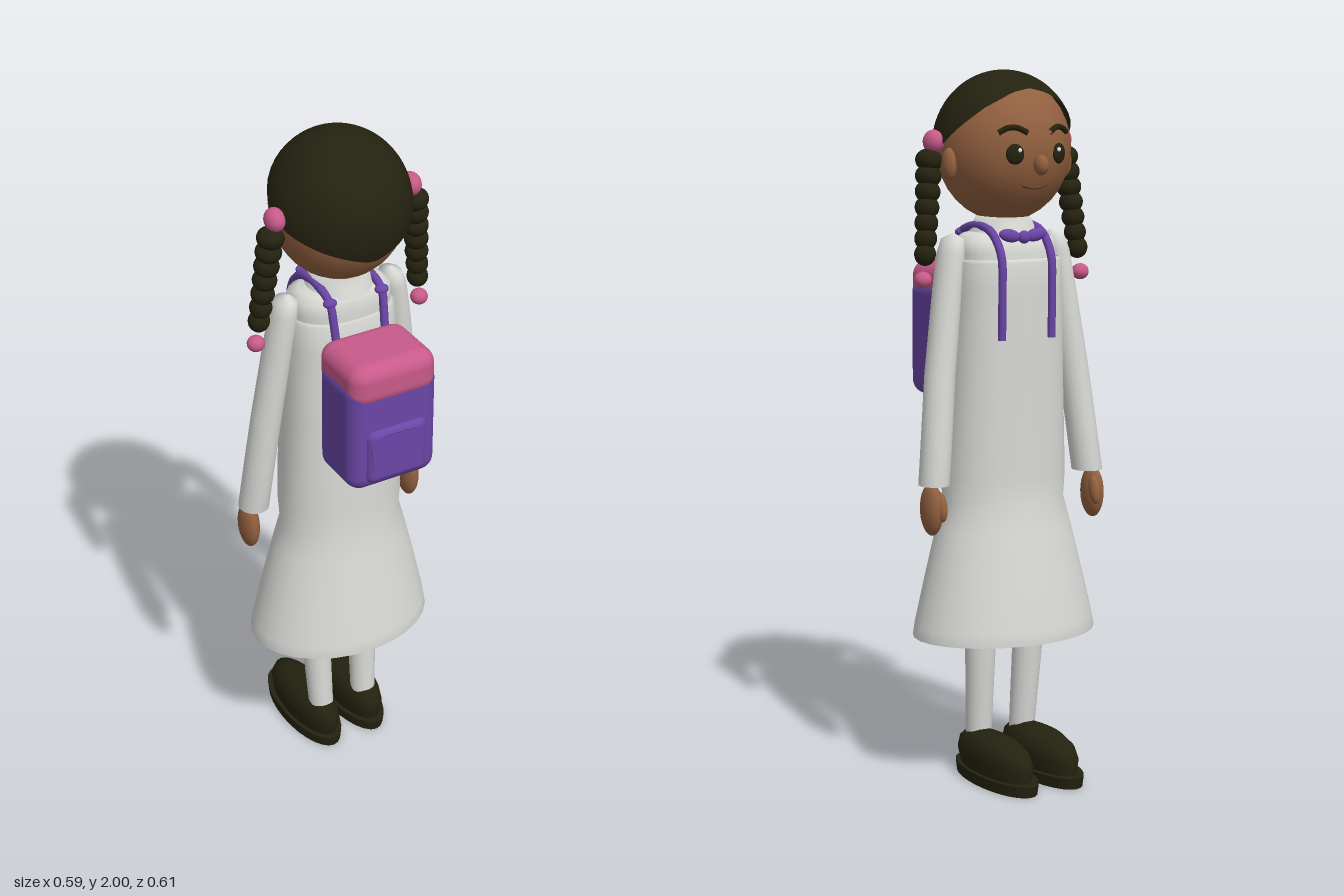
import * as THREE from 'three';
import { RoundedBoxGeometry } from 'three/addons/geometries/RoundedBoxGeometry.js';

const mat = (name, color, side = THREE.FrontSide) => {
  const m = new THREE.MeshStandardMaterial({ color, side });
  m.name = name;
  return m;
};

export function createModel() {
  const model = new THREE.Group();
  model.name = 'schoolchild';
  const hair = mat('dark hair', 0x24220f, THREE.DoubleSide);
  const skin = mat('brown skin', 0x92603f);
  const lips = mat('dark lips', 0x6a3f2a);
  const cloth = mat('white cloth', 0xd8d8d5, THREE.DoubleSide);
  const purple = mat('purple fabric', 0x6a45a6);
  const pink = mat('pink fabric', 0xc75a89);
  const glint = mat('eye glint', 0xf2f2f2);

  const add = (name, geo, material, pos = [0, 0, 0], parent = model) => {
    const m = new THREE.Mesh(geo, material);
    m.name = name;
    m.position.set(...pos);
    parent.add(m);
    return m;
  };
  const ball = (name, material, pos, r, parent = model) => {
    const m = add(name, new THREE.SphereGeometry(1, 24, 16), material, pos, parent);
    m.scale.set(...r);
    return m;
  };
  const tube = (name, material, pts, r, parent = model) => {
    const curve = new THREE.CatmullRomCurve3(pts.map(p => new THREE.Vector3(...p)));
    return add(name, new THREE.TubeGeometry(curve, 28, r, 8), material, [0, 0, 0], parent);
  };
  // Skin of stacked superellipse rings: [y, x radius, z radius, centre x, centre z, exponent]
  const loft = (rings, n = 28) => {
    const pos = [], idx = [];
    rings.forEach(([y, rx, rz, cx = 0, cz = 0, e = 2], j) => {
      for (let i = 0; i < n; i++) {
        const a = i / n * Math.PI * 2, c = Math.cos(a), s = Math.sin(a);
        pos.push(cx + rx * Math.sign(c) * Math.abs(c) ** (2 / e), y, cz + rz * Math.sign(s) * Math.abs(s) ** (2 / e));
        if (j === rings.length - 1) continue;
        const k = (i + 1) % n, p = j * n;
        idx.push(p + i, p + n + i, p + k, p + k, p + n + i, p + n + k);
      }
    });
    const g = new THREE.BufferGeometry();
    g.setAttribute('position', new THREE.Float32BufferAttribute(pos, 3));
    g.setIndex(idx);
    g.computeVertexNormals();
    return g;
  };

  // Head and neck
  ball('head', skin, [0, 1.785, -0.025], [0.187, 0.203, 0.19]);
  ball('nose', skin, [0, 1.745, -0.222], [0.019, 0.028, 0.025]);
  add('neck', new THREE.CylinderGeometry(0.06, 0.065, 0.12, 20), skin, [0, 1.565, -0.02]);
  const faceZ = (x, y) => -0.025 - 0.19 * Math.sqrt(1 - (x / 0.187) ** 2 - ((y - 1.785) / 0.203) ** 2);
  tube('mouth', lips, [-0.04, -0.02, 0, 0.02, 0.04].map(x => {
    const y = 1.682 + 5 * x * x;
    return [x, y, faceZ(x, y)];
  }), 0.004);

  // Hair cap: a sphere whose lower edge rises from the nape to a parted fringe
  const hairline = [[0, 2.04], [1.57, 1.55], [1.8, 1.38], [2.29, 1.02], [2.75, 0.78], [Math.PI, 0.7]];
  const edge = a => {
    const i = Math.max(1, hairline.findIndex(h => h[0] >= a - 1e-6));
    const [a0, t0] = hairline[i - 1], [a1, t1] = hairline[i];
    return t0 + (t1 - t0) * (a - a0) / (a1 - a0);
  };
  const cap = new THREE.SphereGeometry(1, 48, 24);
  for (let i = 0; i < cap.attributes.position.count; i++) {
    const phi = cap.attributes.uv.getX(i) * Math.PI * 2;
    const row = Math.floor(i / 49) / 24;
    const a = Math.min(Math.PI, Math.acos(Math.max(-1, Math.min(1, Math.sin(phi)))));
    const t = row * edge(a);
    const p = [-Math.cos(phi) * Math.sin(t), Math.cos(t), Math.sin(phi) * Math.sin(t)];
    cap.attributes.position.setXYZ(i, ...p);
    cap.attributes.normal.setXYZ(i, ...p);
  }
  // The last row no longer closes to a pole, so fill its missing triangles
  const capIndex = Array.from(cap.index.array);
  for (let i = 0; i < 48; i++) {
    const p = 23 * 49 + i;
    capIndex.push(p, p + 49, p + 50);
  }
  cap.setIndex(capIndex);
  add('hair', cap, hair, [0, 1.79, -0.025]).scale.set(0.197, 0.21, 0.205);

  // Dress, shirt and collar
  add('dress', loft([
    [0.42, 0.27, 0.203, 0, -0.028], [0.415, 0.275, 0.208, 0, -0.028], [0.45, 0.27, 0.203, 0, -0.028],
    [0.58, 0.24, 0.178, 0, -0.027], [0.72, 0.205, 0.15, 0, -0.025], [0.8, 0.181, 0.134, 0, -0.023, 2.1],
    [0.87, 0.185, 0.132, 0, -0.023, 2.2], [1.15, 0.172, 0.129, 0, -0.026, 2.4],
    [1.4, 0.163, 0.124, 0, -0.032, 2.5], [1.475, 0.16, 0.119, 0, -0.036, 2.5], [1.484, 0.15, 0.108, 0, -0.036, 2.5],
  ]), cloth);
  add('shirt', loft([
    [1.4, 0.145, 0.11, 0, -0.033, 2.4], [1.5, 0.15, 0.106, 0, -0.03, 2.4], [1.535, 0.145, 0.098, 0, -0.025, 2.4],
    [1.552, 0.12, 0.085, 0, -0.022], [1.562, 0.06, 0.06, 0, -0.02],
  ]), cloth);
  add('collar', loft([[1.545, 0.1, 0.095, 0, -0.022], [1.575, 0.087, 0.085, 0, -0.022],
    [1.6, 0.075, 0.075, 0, -0.02], [1.57, 0.066, 0.066, 0, -0.02]]), cloth);

  // Backpack
  const pack = new THREE.Group();
  pack.name = 'backpack';
  model.add(pack);
  const box = (name, material, size, r, pos) => add(name, new RoundedBoxGeometry(...size, 5, r), material, pos, pack);
  box('packBody', purple, [0.272, 0.34, 0.2], 0.045, [0, 1.24, 0.19]);
  box('packLid', pink, [0.262, 0.127, 0.215], 0.045, [0, 1.396, 0.187]);
  box('packPocket', purple, [0.186, 0.165, 0.05], 0.022, [0, 1.182, 0.28]);
  tube('pocketSeam', purple, [[-0.075, 1.13, 0.301], [-0.072, 1.235, 0.301], [0, 1.25, 0.303],
    [0.072, 1.235, 0.301], [0.075, 1.13, 0.301]], 0.004, pack);

  // Bow at the throat
  ball('bowKnot', purple, [0, 1.545, -0.135], [0.018, 0.018, 0.016]);

  // Paired parts
  for (const s of [-1, 1]) {
    const side = new THREE.Group();
    side.name = s > 0 ? 'leftParts' : 'rightParts';
    model.add(side);
    const X = (x, y, z) => [s * x, y, z];

    ball('ear', skin, X(0.185, 1.745, -0.045), [0.02, 0.045, 0.028], side);
    const eye = ball('eye', hair, X(0.07, 1.775, faceZ(0.07, 1.775)), [0.025, 0.028, 0.01], side);
    eye.rotation.y = -s * 0.38;
    ball('eyeGlint', glint, X(0.062, 1.786, faceZ(0.062, 1.786) - 0.01), [0.006, 0.006, 0.003], side);
    tube('eyebrow', hair, [[0.035, 1.832], [0.06, 1.845], [0.085, 1.845], [0.108, 1.832]]
      .map(([x, y]) => X(x, y, faceZ(x, y) - 0.003)), 0.008, side);

    // Braid with a tie on top and a bead at the end
    ball('hairTie', pink, X(0.207, 1.805, 0.003), [0.028, 0.033, 0.035], side);
    for (let i = 0; i < 7; i++) {
      const t = i / 6, r = 0.038 - 0.008 * t;
      const lock = ball('braidLock', hair, X(0.221 + 0.027 * t, 1.755 - 0.255 * t, 0.004 - 0.024 * t), [r, 0.032, r], side);
      lock.rotation.z = s * 0.15;
    }
    ball('braidBead', pink, X(0.257, 1.43, -0.023), [0.025, 0.023, 0.025], side);

    // Sleeve, hand and thumb
    add('sleeve', loft([
      [0.868, 0.034, 0.038, s * 0.25, -0.072], [0.866, 0.043, 0.047, s * 0.252, -0.072],
      [1.02, 0.043, 0.046, s * 0.235, -0.06], [1.17, 0.043, 0.045, s * 0.218, -0.047],
      [1.4, 0.04, 0.045, s * 0.186, -0.032], [1.5, 0.038, 0.046, s * 0.17, -0.026],
      [1.54, 0.03, 0.038, s * 0.163, -0.024], [1.555, 0.002, 0.002, s * 0.16, -0.023],
    ], 20), cloth, [0, 0, 0], side);
    ball('hand', skin, X(0.265, 0.8, -0.08), [0.027, 0.074, 0.046], side);
    const thumb = ball('thumb', skin, X(0.252, 0.81, -0.112), [0.015, 0.042, 0.02], side);
    thumb.rotation.x = 0.25;

    // Leg and shoe
    add('leg', loft([[0.08, 0.036, 0.037, s * 0.072, -0.005], [0.42, 0.045, 0.045, s * 0.08, -0.033],
      [0.75, 0.055, 0.055, s * 0.08, -0.04]], 20), cloth, [0, 0, 0], side);
    add('sole', new THREE.CylinderGeometry(1, 0.97, 0.032, 28), hair, X(0.075, 0.016, -0.112), side)
      .scale.set(0.075, 1, 0.193);
    add('shoe', loft([[0.025, 0.062, 0.165, s * 0.075, -0.108], [0.07, 0.069, 0.176, s * 0.075, -0.104],
      [0.1, 0.063, 0.163, s * 0.075, -0.1], [0.122, 0.047, 0.125, s * 0.075, -0.09],
      [0.133, 0.02, 0.06, s * 0.075, -0.075], [0.135, 0.001, 0.001, s * 0.075, -0.07]]), hair, [0, 0, 0], side);

    // Shoulder strap from the pack, over the shoulder and down the chest
    tube('strap', purple, [X(0.075, 1.42, 0.1), X(0.078, 1.5, 0.085), X(0.08, 1.55, 0.07), X(0.08, 1.572, 0),
      X(0.08, 1.56, -0.09), X(0.08, 1.5, -0.145), X(0.08, 1.4, -0.152), X(0.08, 1.265, -0.149)], 0.012, side);
    ball('strapKnot', purple, X(0.08, 1.55, 0.07), [0.02, 0.013, 0.016], side);
    const loop = ball('bowLoop', purple, X(0.042, 1.55, -0.128), [0.034, 0.018, 0.014], side);
    loop.rotation.z = s * 0.2;
  }
  return model;
}
